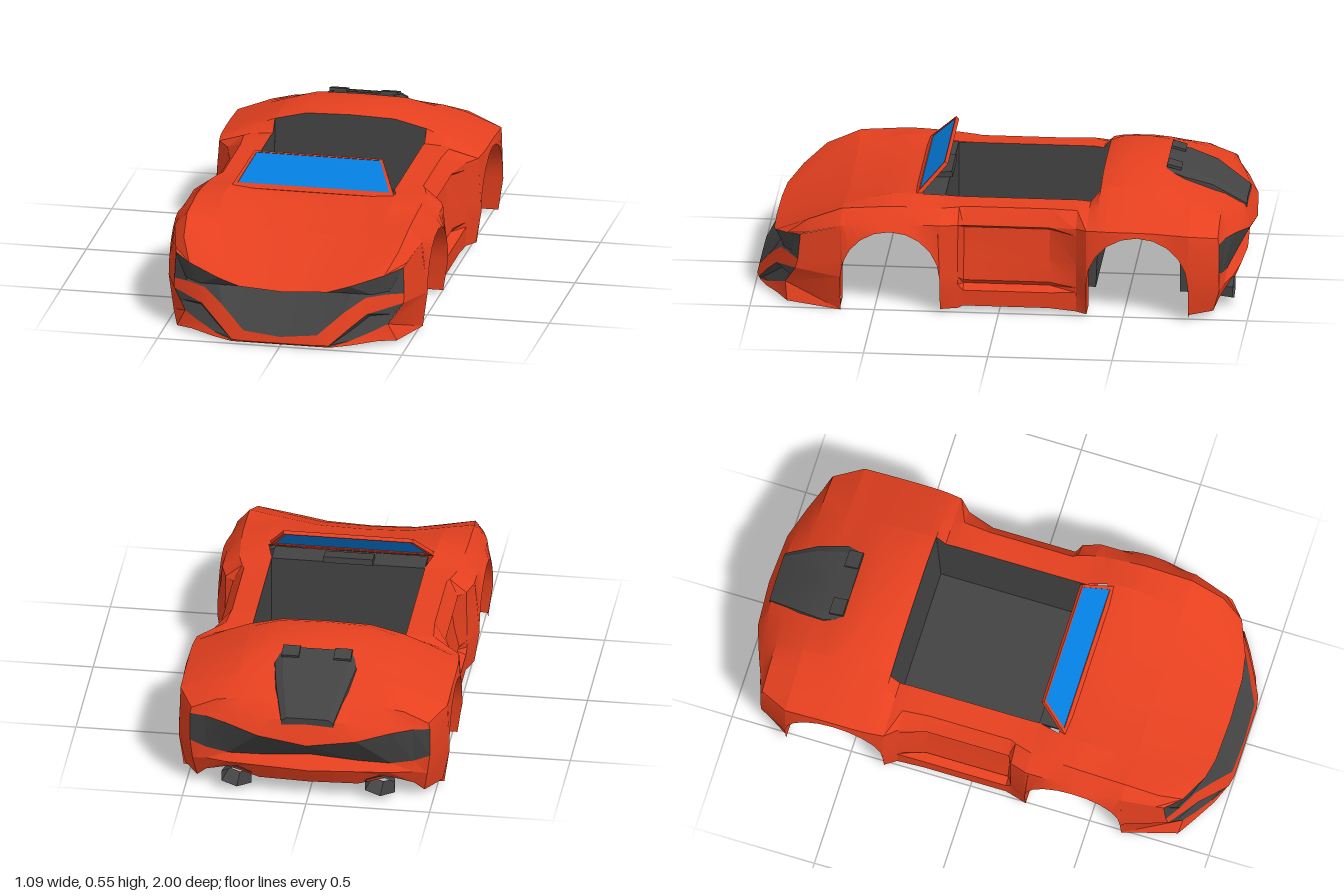
import * as THREE from 'three';
import { toCreasedNormals } from 'three/addons/utils/BufferGeometryUtils.js';

const material = (name, color) => {
  const m = new THREE.MeshStandardMaterial({ color, side: THREE.DoubleSide });
  m.name = name;
  return m;
};

export function createModel() {
  const car = new THREE.Group();
  car.name = 'carBody';
  const paint = material('orangePaint', 0xe5401f);
  const trim = material('darkTrim', 0x434343);
  const glass = material('blueGlass', 0x0480e2);

  const add = (name, geometry, mat, x = 0, y = 0, z = 0) => {
    const mesh = new THREE.Mesh(geometry, mat);
    mesh.name = name;
    mesh.position.set(x, y, z);
    car.add(mesh);
    return mesh;
  };
  const box = (name, mat, w, h, d, x, y, z) => add(name, new THREE.BoxGeometry(w, h, d), mat, x, y, z);

  // Surface through rows of [x, y, z] points, mirrored to both sides
  const loft = (name, mat, rows, crease = 0.5) => {
    const pos = [];
    for (const s of [1, -1]) {
      const put = (...pts) => (s > 0 ? pts : pts.reverse()).forEach(([x, y, z]) => pos.push(s * x, y, z));
      for (let i = 0; i + 1 < rows.length; i++) {
        for (let j = 0; j + 1 < rows[i].length; j++) {
          const [a, b, c, d] = [rows[i][j], rows[i][j + 1], rows[i + 1][j + 1], rows[i + 1][j]];
          put(a, b, c);
          put(a, c, d);
        }
      }
    }
    const g = new THREE.BufferGeometry();
    g.setAttribute('position', new THREE.Float32BufferAttribute(pos, 3));
    return add(name, toCreasedNormals(g, crease), mat);
  };
  const atZ = (pts, z) => pts.map(([x, y]) => [x, y, z]);

  // Cross-section between keyed sections; the last point becomes the wheel arch edge
  const section = (keys, z, edgeY) => {
    let i = 0;
    while (i < keys.length - 2 && z < keys[i + 1][0]) i++;
    const [za, a] = keys[i], [zb, b] = keys[i + 1];
    const t = (za - z) / (za - zb);
    const row = a.map(([x, y], k) => [x + (b[k][0] - x) * t, y + (b[k][1] - y) * t, z]);
    row[row.length - 1][1] = edgeY;
    return row;
  };
  const archRows = (keys, cz, cy, r) => {
    const rows = [];
    for (let i = 0; i <= 10; i++) {
      const a = (Math.PI * i) / 10;
      rows.push(section(keys, cz + r * Math.cos(a), cy + r * Math.sin(a)));
    }
    return rows;
  };
  // Inner flange that lines a wheel opening
  const liner = (name, rows, inner) => {
    const edge = rows.map((r) => r[r.length - 1]);
    const first = edge[0], last = edge[edge.length - 1];
    const path = [[first[0] - 0.02, 0.02, first[2]], ...edge, [last[0] - 0.02, 0.02, last[2]]];
    loft(name, paint, path.map((p) => [p, [inner, p[1], p[2]]]));
  };

  // Hood and front fenders
  const frontKeys = [
    [0.635, [[0, 0.365], [0.18, 0.37], [0.34, 0.398], [0.455, 0.418], [0.505, 0.36], [0.53, 0]]],
    [0.44, [[0, 0.42], [0.18, 0.422], [0.34, 0.447], [0.455, 0.432], [0.51, 0.375], [0.533, 0]]],
    [0.34, [[0, 0.44], [0.18, 0.44], [0.34, 0.447], [0.45, 0.43], [0.51, 0.375], [0.533, 0]]],
    [0.235, [[0, 0.44], [0.18, 0.44], [0.31, 0.433], [0.44, 0.425], [0.51, 0.375], [0.53, 0]]],
  ];
  const front = archRows(frontKeys, 0.435, 0.15, 0.2);
  const lip = [[0, 0.215, 0.935], [0.18, 0.225, 0.93], [0.27, 0.25, 0.915], [0.4, 0.287, 0.86], [0.465, 0.305, 0.8]];
  const nose = atZ([[0, 0.305], [0.18, 0.31], [0.32, 0.335], [0.44, 0.362], [0.473, 0.317]], 0.77);
  loft('hoodNose', paint, [lip, nose, front[0].slice(0, 5)]);
  loft('hood', paint, front.filter((r) => r[0][2] > 0.3).map((r) => r.slice(0, 3)));
  loft('frontFender', paint, front.map((r) => r.slice(2)));
  liner('frontArchLiner', front, 0.42);

  // Front corners ahead of the wheels
  const fogTip = [0.47, 0.163, 0.82], fogCorner = [0.415, 0.085, 0.865];
  loft('frontCorner', paint, [
    [lip[4], [0.47, 0.2, 0.81], fogTip, fogCorner, [0.45, 0.015, 0.855]],
    atZ([[0.505, 0.36], [0.512, 0.29], [0.522, 0.22], [0.53, 0.15], [0.51, 0.005]], 0.635),
  ]);

  // Grille and headlight band under the hood lip, sloping forward to the chin
  const grilleBase = [[0, 0.045, 0.995], [0.15, 0.06, 0.99], [0.25, 0.145, 0.935], [0.33, 0.198, 0.89], [0.41, 0.205, 0.85]];
  const grilleTop = [[0, 0.207, 0.87], [0.18, 0.212, 0.87], [0.27, 0.215, 0.895], [0.35, 0.208, 0.875], [0.415, 0.215, 0.84]];
  loft('grille', trim, [lip, grilleTop, grilleBase], 0.3);
  loft('grilleEnd', trim, [[lip[4], grilleTop[4]], [[0.47, 0.2, 0.81], grilleBase[4]]]);

  // Bumper band, fog recesses and chin
  const fogTop = [[0.2, 0.02, 0.99], [0.27, 0.08, 0.95], [0.34, 0.135, 0.905], fogTip];
  loft('frontBumperBand', paint, [
    [...grilleBase, [0.47, 0.2, 0.81]],
    [[0, 0.02, 1], [0.15, 0.02, 1], ...fogTop],
  ], 0.3);
  const fogBase = [[0.2, 0.015, 0.985], [0.28, 0.032, 0.945], [0.36, 0.062, 0.9], fogCorner];
  loft('fogRecess', trim, [
    fogTop,
    [[0.2, 0.018, 0.975], [0.275, 0.067, 0.93], [0.345, 0.12, 0.88], [0.44, 0.122, 0.842]],
    fogBase,
  ], 0.2);
  loft('fogSill', paint, [
    fogBase,
    [[0.2, 0.01, 0.985], [0.28, 0.015, 0.955], [0.38, 0.022, 0.9], [0.45, 0.015, 0.855]],
  ]);
  loft('chin', paint, [
    [[0, 0.02, 1], [0.15, 0.02, 1], [0.2, 0.02, 0.99]],
    [[0, 0.01, 0.985], [0.15, 0.01, 0.985], [0.2, 0.01, 0.985]],
    [[0, 0.012, 0.93], [0.15, 0.012, 0.93], [0.28, 0.015, 0.955]],
  ]);

  // Sculpted doors and sills between the wheels
  const door = [[0.31, 0.43], [0.41, 0.425], [0.455, 0.36], [0.425, 0.343], [0.44, 0.22], [0.46, 0.13], [0.445, 0.112], [0.488, 0.095], [0.488, 0.03], [0.42, 0.025]];
  const pillar = (c2, c3, c4, edge, foot) => [
    c2, c3, c4,
    ...[0.34, 0.22, 0.15, 0.12, 0.1, 0.02].map((y) => [
      y >= 0.15 ? c4[0] + ((edge - c4[0]) * (c4[1] - y)) / (c4[1] - 0.15) : foot + ((edge - foot) * (y - 0.02)) / 0.13, y]),
    [0.42, 0.02],
  ];
  const post = pillar([0.31, 0.43], [0.42, 0.425], [0.487, 0.37], 0.49, 0.49);
  loft('doorAndSill', paint, [
    atZ(pillar([0.31, 0.433], [0.44, 0.425], [0.51, 0.375], 0.53, 0.51), 0.235),
    atZ(post, 0.165),
    atZ(door, 0.145),
    atZ(door, -0.2),
    atZ(post, -0.31),
    atZ(pillar([0.31, 0.425], [0.4, 0.42], [0.53, 0.378], 0.543, 0.52), -0.355),
  ], 0.35);

  // Rear deck and rear fenders
  const rearKeys = [
    [-0.355, [[0, 0.44], [0.18, 0.44], [0.31, 0.425], [0.4, 0.42], [0.53, 0.378], [0.543, 0]]],
    [-0.394, [[0, 0.512], [0.18, 0.507], [0.31, 0.475], [0.4, 0.44], [0.535, 0.38], [0.545, 0]]],
    [-0.45, [[0, 0.535], [0.18, 0.53], [0.3, 0.49], [0.4, 0.447], [0.54, 0.38], [0.547, 0]]],
    [-0.6, [[0, 0.535], [0.18, 0.53], [0.3, 0.49], [0.4, 0.447], [0.54, 0.38], [0.547, 0]]],
    [-0.765, [[0, 0.455], [0.18, 0.46], [0.3, 0.45], [0.4, 0.425], [0.54, 0.37], [0.547, 0]]],
  ];
  const rear = archRows(rearKeys, -0.56, 0.155, 0.205);
  const deck = rear.filter((r) => r[0][2] < -0.37).map((r) => r.slice(0, 3));
  loft('rearDeck', paint, deck);
  loft('rearFender', paint, rear.map((r) => r.slice(2)));
  liner('rearArchLiner', rear, 0.42);
  const tip = [[0, 0.27, -1], [0.2, 0.295, -0.985], [0.33, 0.318, -0.94], [0.42, 0.325, -0.905], [0.485, 0.322, -0.885]];
  loft('tail', paint, [
    rear[10].slice(0, 5),
    atZ([[0, 0.405], [0.15, 0.41], [0.28, 0.405], [0.38, 0.39], [0.48, 0.345]], -0.88),
    [[0, 0.36, -0.96], [0.15, 0.36, -0.955], [0.28, 0.358, -0.925], [0.38, 0.352, -0.9], [0.482, 0.337, -0.882]],
    tip,
  ]);
  loft('rearCorner', paint, [
    atZ([[0.54, 0.37], [0.542, 0.3], [0.545, 0.22], [0.547, 0.155], [0.52, 0.03]], -0.765),
    [[0.48, 0.345, -0.88], tip[4], [0.485, 0.2, -0.885], [0.475, 0.12, -0.885], [0.46, 0.03, -0.86]],
  ]);

  // Recessed tail panel and rear bumper
  const recess = [[0, 0.185, -0.91], [0.2, 0.17, -0.91], [0.33, 0.165, -0.905], [0.42, 0.175, -0.89], [0.485, 0.2, -0.885]];
  loft('tailPanel', trim, [tip, recess], 0.2);
  loft('rearBumper', paint, [
    recess,
    [[0, 0.135, -0.96], [0.2, 0.14, -0.95], [0.33, 0.135, -0.93], [0.42, 0.13, -0.9], [0.475, 0.12, -0.885]],
    [[0, 0.07, -0.93], [0.2, 0.07, -0.92], [0.33, 0.1, -0.9], [0.42, 0.07, -0.88], [0.46, 0.03, -0.86]],
  ], 0.3);
  for (const s of [-1, 1]) {
    const pipe = add('exhaust', new THREE.CylinderGeometry(0.05, 0.07, 0.1, 6, 1, true).toNonIndexed(), trim, s * 0.29, 0.07, -0.88);
    pipe.geometry.computeVertexNormals();
    pipe.rotation.x = Math.PI / 2;
    pipe.scale.z = 0.65;
    box('exhaustMuffler', trim, 0.16, 0.145, 0.035, s * 0.32, 0.157, -0.738);
  }

  // Engine vent on the rear deck
  const ventRow = (x, y, z) => atZ([[0, y], [x * 0.8, y], [x, y - 0.015], [x + 0.005, y - 0.08]], z);
  loft('engineVent', trim, [
    atZ([[0, 0.46], [0.11, 0.46], [0.14, 0.46], [0.145, 0.46]], -0.645),
    ventRow(0.145, 0.522, -0.645), ventRow(0.165, 0.502, -0.72), ventRow(0.145, 0.466, -0.83), ventRow(0.105, 0.375, -0.965),
    atZ([[0, 0.33], [0.08, 0.33], [0.105, 0.32], [0.11, 0.3]], -0.965),
  ], 0.3);
  for (const s of [-1, 1]) {
    box('ventRib', trim, 0.07, 0.012, 0.06, s * 0.105, 0.518, -0.675).rotation.x = -0.26;
  }

  // Open cockpit tub, its walls meeting the body around the opening
  loft('cockpitTub', trim, [[0.235, 0.43], [-0.3, 0.43], [-0.355, 0.425], [-0.394, 0.475]].map(
    ([z, top]) => [[0, 0.06, Math.max(z, -0.375)], [0.31, 0.06, Math.max(z, -0.375)], [0.31, top, z]]), 0.1);
  loft('cockpitRearWall', trim, [deck[0], deck[0].map(([x]) => [x, 0.06, -0.375])], 0.1);
  box('cockpitFrontWall', trim, 0.62, 0.36, 0.01, 0, 0.24, 0.235);
  box('dashboard', trim, 0.62, 0.012, 0.1, 0, 0.425, 0.28);
  box('dashHood', trim, 0.2, 0.025, 0.07, 0, 0.44, 0.255).rotation.x = 0.15;

  // Raked windshield in a slim frame
  const outline = (wb, yb, wt, yt, Type) => new Type([[-wb, yb], [wb, yb], [wt, yt], [-wt, yt]].map(([x, y]) => new THREE.Vector2(x, y)));
  const frameShape = outline(0.335, -0.01, 0.262, 0.156, THREE.Shape);
  frameShape.holes.push(outline(0.31, 0.012, 0.253, 0.15, THREE.Path));
  const plate = (name, shape, depth, mat) => {
    const g = new THREE.ExtrudeGeometry(shape, { depth, bevelEnabled: false });
    g.translate(0, 0, -depth / 2);
    add(name, g, mat, 0, 0.44, 0.338).rotation.x = -0.763;
  };
  plate('windshieldFrame', frameShape, 0.016, paint);
  plate('windshield', outline(0.312, 0.01, 0.254, 0.152, THREE.Shape), 0.009, glass);

  return car;
}
